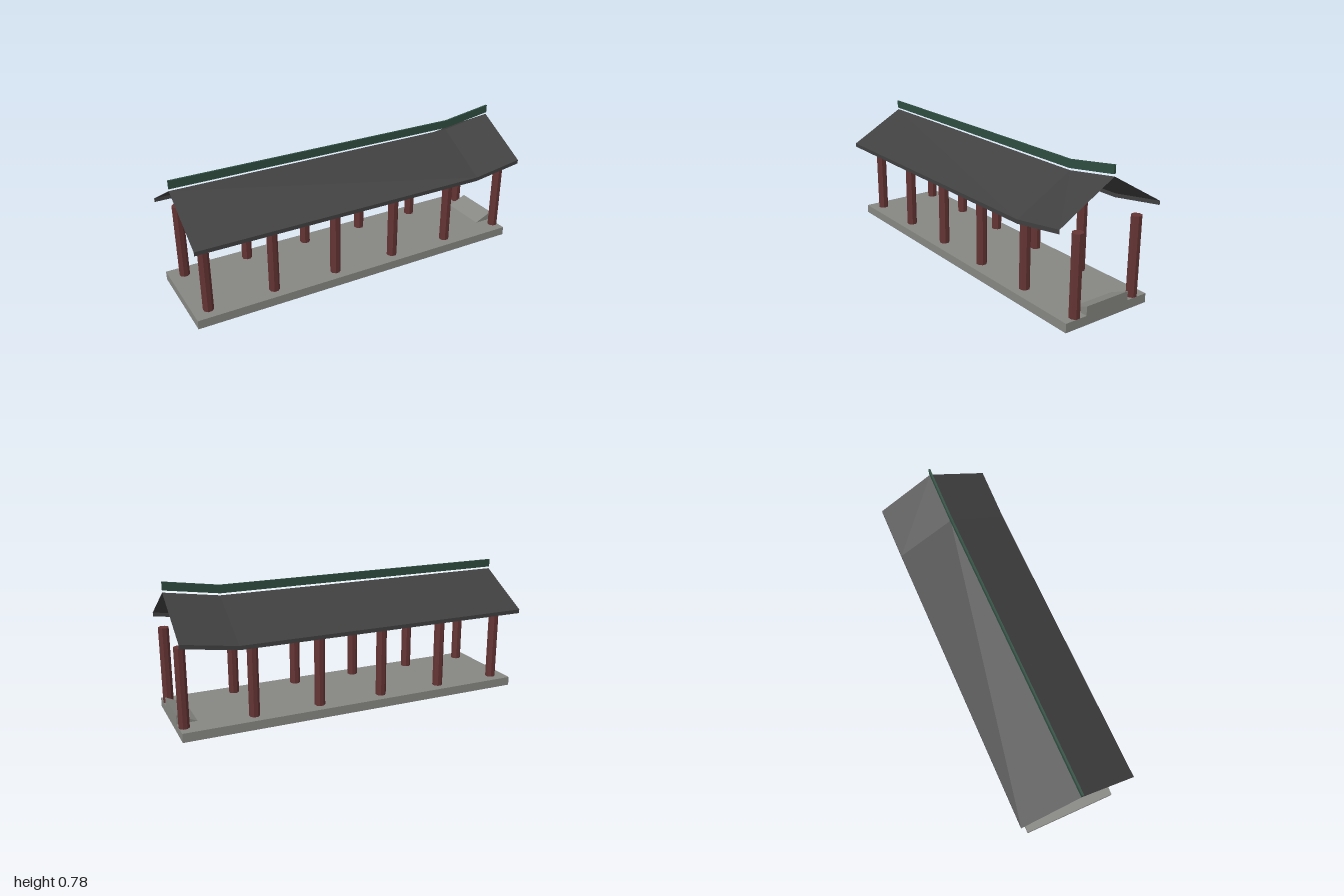
import * as THREE from 'three';

const roofMat = new THREE.MeshStandardMaterial({ name: 'charcoal tile', color: 0x404040, side: THREE.DoubleSide });
const ridgeMat = new THREE.MeshStandardMaterial({ name: 'dark green ridge', color: 0x2f4d40 });
const woodMat = new THREE.MeshStandardMaterial({ name: 'dark red timber', color: 0x653434 });
const stoneMat = new THREE.MeshStandardMaterial({ name: 'grey stone', color: 0x868682 });

const BEND = 0.7, RISE = 0.045, ZC = -0.003;

function add(parent, name, geometry, material, x = 0, y = 0, z = 0) {
  const mesh = new THREE.Mesh(geometry, material);
  mesh.name = name;
  mesh.position.set(x, y, z);
  parent.add(mesh);
  return mesh;
}

// Extrude a side profile in x/y across z, centred on z = 0
function slab(points, width) {
  const shape = new THREE.Shape(points.map(([x, y]) => new THREE.Vector2(x, y)));
  return new THREE.ExtrudeGeometry(shape, { depth: width, bevelEnabled: false }).translate(0, 0, -width / 2);
}

// Thin roof sheet for one side: slope from ridge to eave, then a short drop
function roofSheet(side) {
  const stations = [[-1, 0], [BEND, 0], [1, RISE]];
  const rows = [[0.675, 0], [0.49, 0.325], [0.468, 0.325]];
  const pos = [];
  const put = (s, r) => pos.push(s[0], r[0] + s[1], r[1] * side);
  for (let i = 0; i < 2; i++) {
    for (let j = 0; j < 2; j++) {
      const [a, b] = side > 0 ? [stations[i], stations[i + 1]] : [stations[i + 1], stations[i]];
      const [up, low] = [rows[j], rows[j + 1]];
      put(a, up); put(a, low); put(b, low);
      put(a, up); put(b, low); put(b, up);
    }
  }
  const g = new THREE.BufferGeometry();
  g.setAttribute('position', new THREE.Float32BufferAttribute(pos, 3));
  g.computeVertexNormals();
  return g;
}

export function createModel() {
  const model = new THREE.Group();
  model.name = 'coveredWalkway';

  // Floor with a short ramp up at the raised end
  add(model, 'floor', new THREE.BoxGeometry(2, 0.05, 0.535), stoneMat, 0, 0.025, ZC);
  add(model, 'endRamp', slab([[0.89, 0.05], [1, 0.05], [1, 0.1]], 0.275), stoneMat, 0, 0, ZC);

  // Two rows of eight-sided posts
  const posts = new THREE.Group();
  posts.name = 'posts';
  model.add(posts);
  const postGeo = new THREE.CylinderGeometry(0.0292, 0.0292, 0.433, 8)
    .rotateY(Math.PI / 8).toNonIndexed();
  postGeo.computeVertexNormals();
  for (let i = 0; i < 6; i++) {
    for (const side of [1, -1]) {
      add(posts, 'post', postGeo, woodMat, -0.915 + i * 0.3776, 0.2665, ZC + side * 0.192);
    }
  }

  // Roof slopes and the ridge board floating just above them
  add(model, 'frontRoof', roofSheet(1), roofMat);
  add(model, 'backRoof', roofSheet(-1), roofMat);
  const low = 0.687, high = 0.732;
  add(model, 'ridgeBoard', slab([
    [-1, low], [BEND, low], [1, low + RISE],
    [1, high + RISE], [BEND, high], [-1, high],
  ], 0.011), ridgeMat);

  return model;
}
